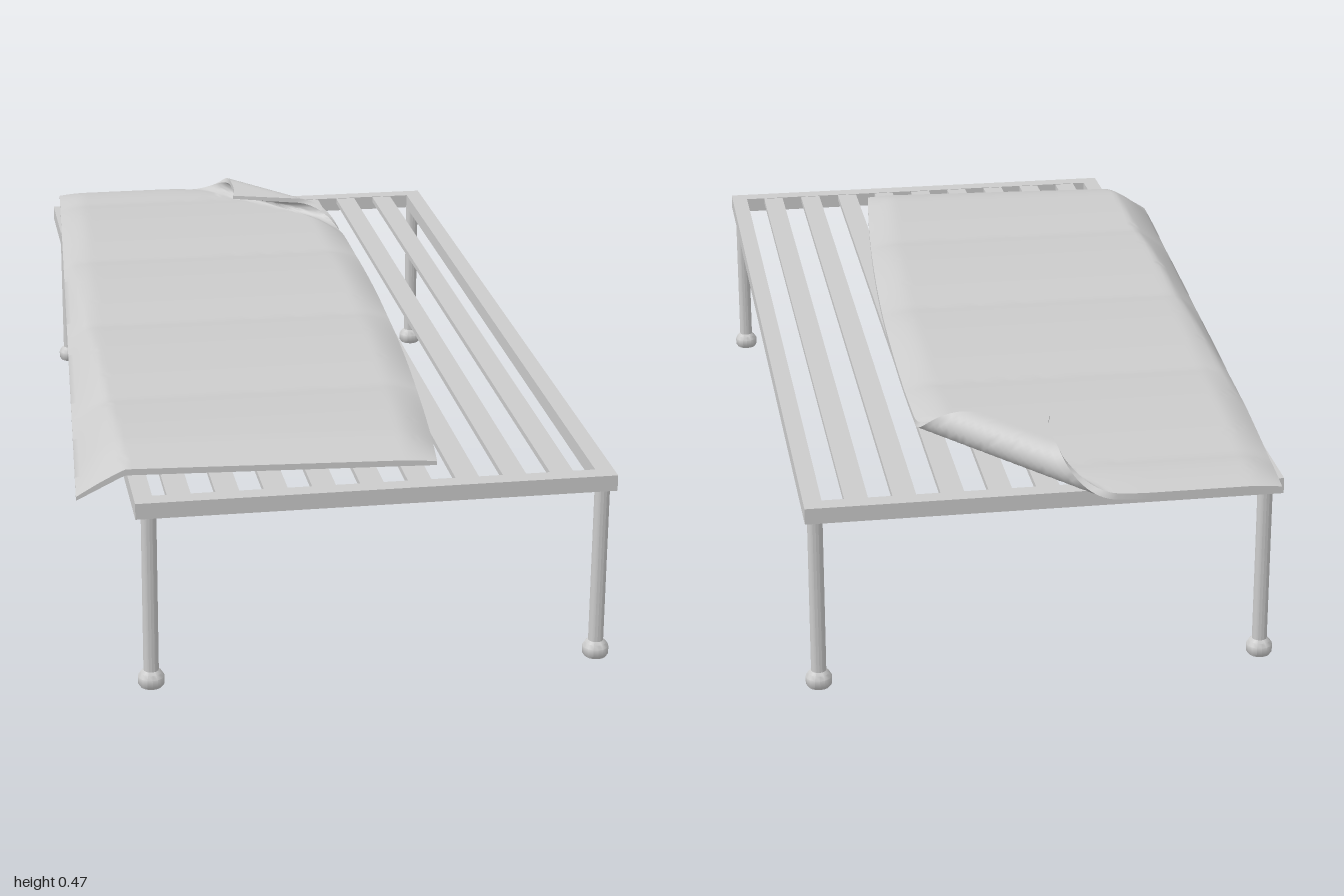
import * as THREE from 'three';
import { toCreasedNormals } from 'three/addons/utils/BufferGeometryUtils.js';

const material = new THREE.MeshStandardMaterial({ color: 0xcccccc, side: THREE.DoubleSide });
const X0 = -0.42, X1 = 0.515, Z0 = -0.94, Z1 = 1.0; // frame footprint
const TOP = 0.395, RAIL = 0.036, RAIL_H = 0.032;

function add(parent, name, geometry, x = 0, y = 0, z = 0) {
  const mesh = new THREE.Mesh(geometry, material);
  mesh.name = name;
  mesh.position.set(x, y, z);
  parent.add(mesh);
  return mesh;
}

// Rails around the edge and slats running lengthwise
function buildFrame() {
  const frame = new THREE.Group();
  frame.name = 'bedFrame';
  const cx = (X0 + X1) / 2, cz = (Z0 + Z1) / 2, y = TOP - RAIL_H / 2;
  for (const x of [X0 + RAIL / 2, X1 - RAIL / 2])
    add(frame, 'sideRail', new THREE.BoxGeometry(RAIL, RAIL_H, Z1 - Z0), x, y, cz);
  for (const z of [Z0 + RAIL / 2, Z1 - RAIL / 2])
    add(frame, 'endRail', new THREE.BoxGeometry(X1 - X0 - 2 * RAIL, RAIL_H, RAIL), cx, y, z);
  for (let i = 0; i < 9; i++)
    add(frame, 'slat', new THREE.BoxGeometry(0.046, 0.012, Z1 - Z0 - 2 * RAIL), -0.333 + i * 0.0932, TOP - 0.007, cz);
  return frame;
}

// Slim round legs with a bulging foot
function buildLegs() {
  const legs = new THREE.Group();
  legs.name = 'legs';
  const profile = [[0, 0], [0.022, 0], [0.026, 0.006], [0.026, 0.021], [0.021, 0.029], [0.015, 0.034], [0.015, 0.37], [0, 0.37]]
    .map(([r, y]) => new THREE.Vector2(r, y));
  const geometry = toCreasedNormals(new THREE.LatheGeometry(profile, 16), 0.7);
  for (const x of [X0 + 0.028, X1 - 0.022])
    for (const z of [Z0 + 0.035, Z1 - 0.03]) add(legs, 'leg', geometry, x, 0, z);
  return legs;
}

// Quilted mattress: a padded sheet, drooping over one side, one corner rolled over
function buildMattress() {
  const NU = 72, NV = 110, BASE = 0.397, R = 0.035;
  const { lerp, smoothstep } = THREE.MathUtils;
  const nx = 0.794, nz = -0.608; // direction across the fold line

  function point(u, v, upper) {
    let z = lerp(-1 + 0.09 * smoothstep(u, 0.4, 1), 0.855 + 0.045 * u, v);
    const left = -0.4 - 0.12 * (z + 1) / 1.855;
    const right = 0.255 - 0.075 * ((z + 0.4) / 1.3) ** 2;
    let x = lerp(left, right, u);

    // padding: four puffs along the length, thinning at every edge
    const seam = Math.abs(Math.sin(Math.PI * (z - 0.05) / 0.455)) ** 0.7;
    const edge = Math.sqrt(smoothstep(Math.min(u, 1 - u), -0.01, 0.1)) * Math.sqrt(smoothstep(Math.min(v, 1 - v), -0.01, 0.06));
    const h = upper ? 0.007 + (0.014 + 0.013 * seam) * edge : 0;
    let y = BASE + h - 0.52 * Math.max(0, -x - 0.425);

    // wrap whatever lies past the fold line around a roll of radius R
    const d = x * nx + (z + 0.95) * nz + R;
    if (d > 0) {
      const a = Math.min(d / R, Math.PI);
      const flat = Math.max(0, d - Math.PI * R);
      const shift = Math.sin(a) * (R - h) - flat - d;
      x += nx * shift;
      z += nz * shift;
      y = BASE + R - Math.cos(a) * (R - h);
    }
    return [x, y, z];
  }

  // each row is a closed loop: upper side out, under side back
  const positions = [], index = [], ring = 2 * (NU + 1);
  for (let j = 0; j <= NV; j++) {
    for (let i = 0; i <= NU; i++) positions.push(...point(i / NU, j / NV, true));
    for (let i = NU; i >= 0; i--) positions.push(...point(i / NU, j / NV, false));
  }
  for (let j = 0; j < NV; j++)
    for (let i = 0; i < ring; i++) {
      const a = j * ring + i, b = j * ring + (i + 1) % ring;
      index.push(a, a + ring, b + ring, a, b + ring, b);
    }
  // close the two ends
  for (let i = 0; i < NU; i++) {
    const t = i, b = ring - 1 - i, e = NV * ring;
    index.push(t, t + 1, b - 1, t, b - 1, b);
    index.push(e + t, e + b - 1, e + t + 1, e + t, e + b, e + b - 1);
  }
  const geometry = new THREE.BufferGeometry();
  geometry.setAttribute('position', new THREE.Float32BufferAttribute(positions, 3));
  geometry.setIndex(index);
  return toCreasedNormals(geometry, 0.8);
}

export function createModel() {
  const model = new THREE.Group();
  model.name = 'bed';
  model.add(buildFrame(), buildLegs());
  add(model, 'mattress', buildMattress());
  return model;
}
